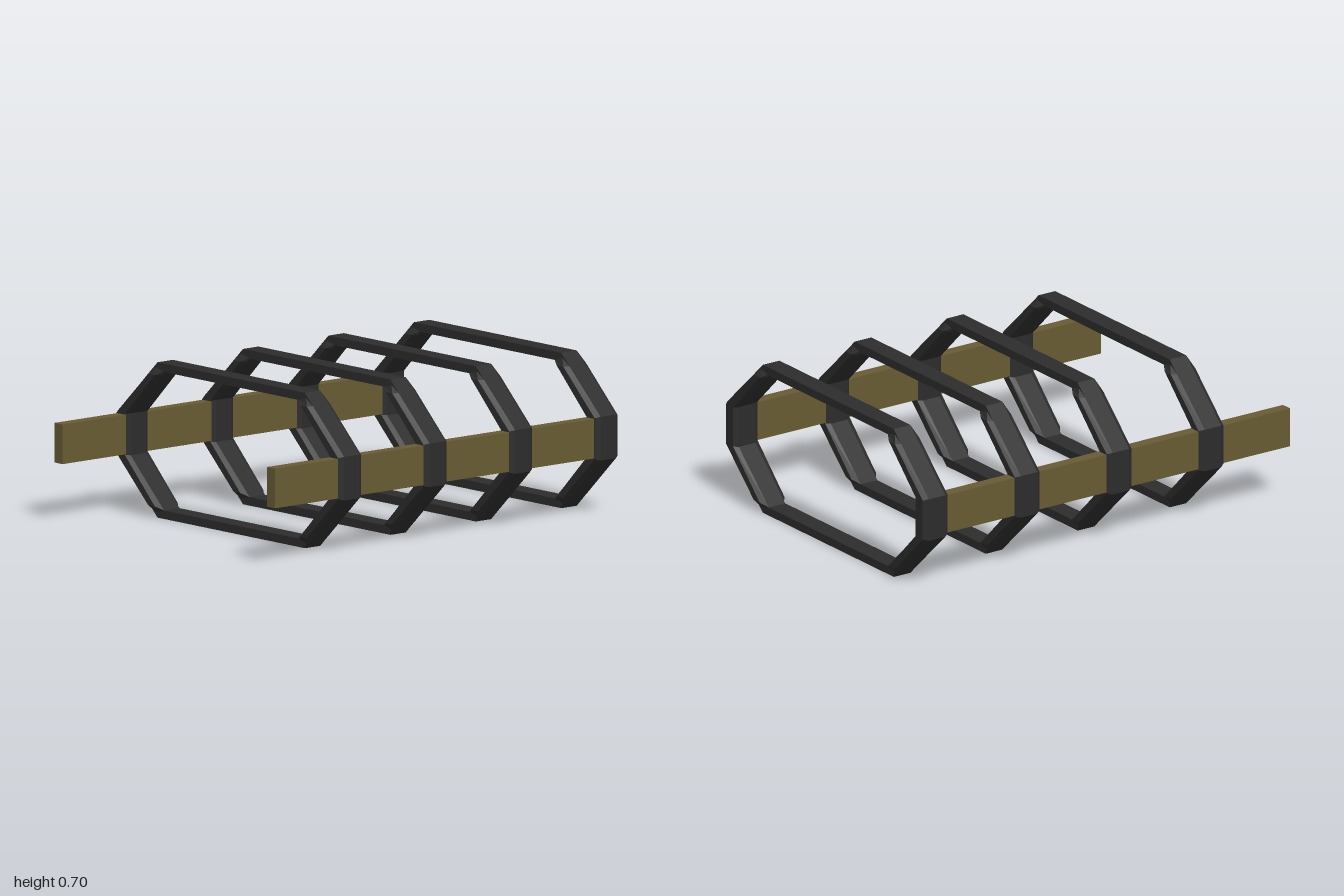
import * as THREE from 'three';

const frameMat = new THREE.MeshStandardMaterial({ color: 0x2c2c2c });
frameMat.name = 'charcoal';
const beamMat = new THREE.MeshStandardMaterial({ color: 0x675b33 });
beamMat.name = 'olive brown';

const MID_Y = 0.349;
const NARROW = 0.045; // half depth of the plain bars
const WIDE = 0.067;   // half depth of the bevelled sides

// Quarter of the ring, from the top bar's end to the upright side.
// Each section: [outer edge, outer bevel, inner bevel, inner edge, bevel half depth]
const quarter = [
  [[0.497, 0.349], [0.505, 0.325], [0.46, 0.313], [0.452, 0.311], NARROW],
  [[0.553, 0.295], [0.535, 0.295], [0.49, 0.295], [0.47, 0.294], WIDE],
  [[0.762, 0.098], [0.747, 0.092], [0.692, 0.092], [0.678, 0.094], WIDE],
];

// Eight-sided cross-section, mirrored into the quadrant given by sx, sy
function section([o, mo, mi, n, w], sx, sy) {
  const p = ([x, y], z) => new THREE.Vector3(x * sx, MID_Y + y * sy, z);
  return [p(o, NARROW), p(o, -NARROW), p(mo, -w), p(mi, -w),
    p(n, -NARROW), p(n, NARROW), p(mi, w), p(mo, w)];
}

function ringGeometry() {
  const back = [...quarter].reverse();
  const loop = [
    ...quarter.map((s) => section(s, 1, 1)),
    ...back.map((s) => section(s, 1, -1)),
    ...quarter.map((s) => section(s, -1, -1)),
    ...back.map((s) => section(s, -1, 1)),
  ];
  const pos = [];
  loop.forEach((s, i) => {
    const t = loop[(i + 1) % loop.length];
    for (let j = 0; j < 8; j++) {
      const k = (j + 1) % 8;
      for (const v of [s[j], t[j], t[k], s[j], t[k], s[k]]) pos.push(v.x, v.y, v.z);
    }
  });
  const g = new THREE.BufferGeometry();
  g.setAttribute('position', new THREE.Float32BufferAttribute(pos, 3));
  g.computeVertexNormals();
  return g;
}

export function createModel() {
  const model = new THREE.Group();
  model.name = 'ribbedFrame';

  // Four identical ring frames
  const ring = ringGeometry();
  for (let i = 0; i < 4; i++) {
    const m = new THREE.Mesh(ring, frameMat);
    m.name = `ringFrame${i + 1}`;
    m.position.z = -0.933 + i * 0.5;
    model.add(m);
  }

  // Side beams running through the rings, ending inside the rear one
  const beam = new THREE.BoxGeometry(0.055, 0.178, 1.93);
  for (const side of [-1, 1]) {
    const m = new THREE.Mesh(beam, beamMat);
    m.name = side > 0 ? 'leftBeam' : 'rightBeam';
    m.position.set(side * 0.717, MID_Y, 0.035);
    model.add(m);
  }
  return model;
}
